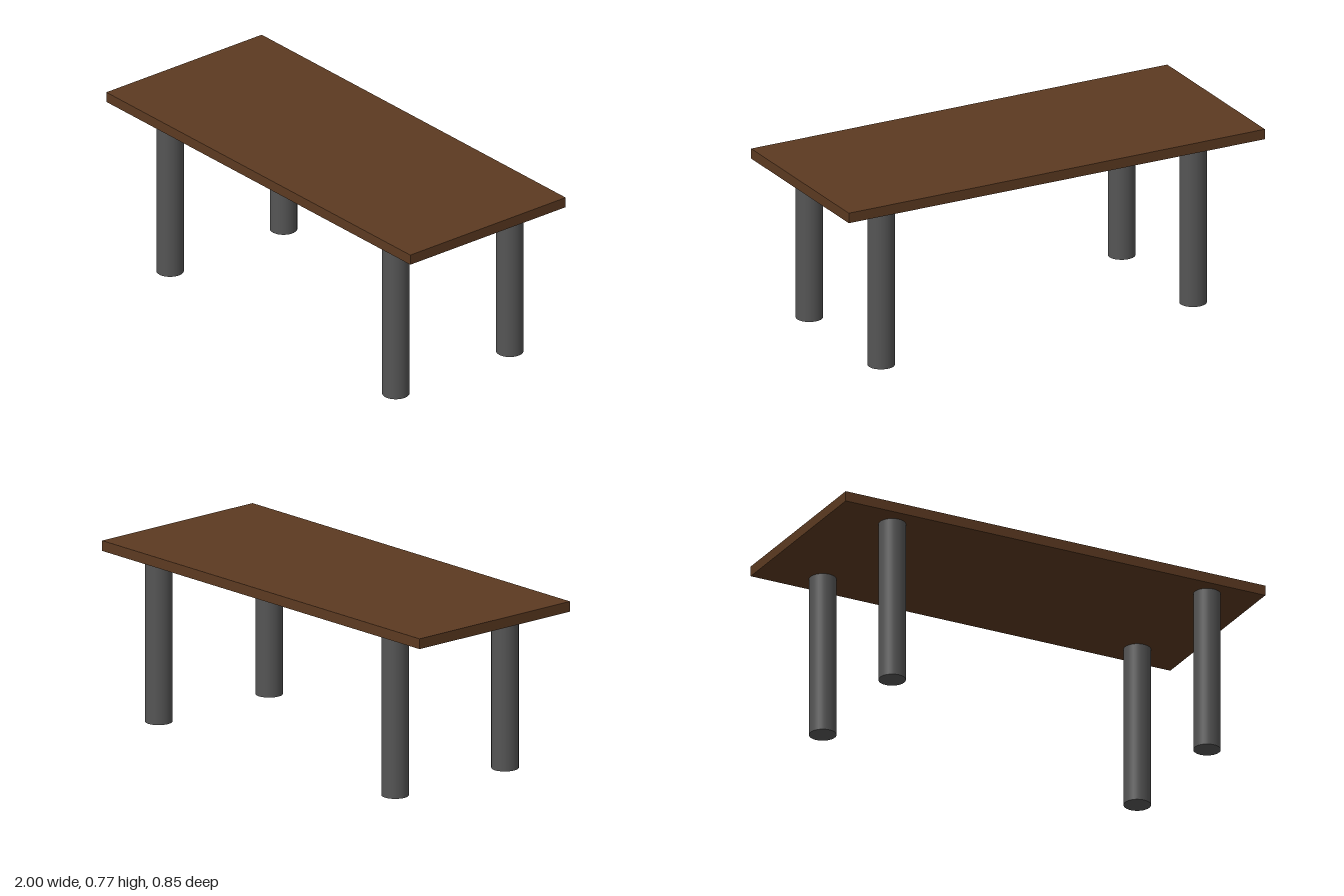
import * as THREE from 'three';

export function createModel() {
  const table = new THREE.Group();
  table.name = 'table';

  const wood = new THREE.MeshStandardMaterial({ name: 'dark wood', color: 0x5c3a21 });
  const metal = new THREE.MeshStandardMaterial({ name: 'grey metal', color: 0x555555 });

  const legHeight = 0.722;
  const topThickness = 0.045;

  // Flat rectangular slab
  const top = new THREE.Mesh(new THREE.BoxGeometry(2, topThickness, 0.85), wood);
  top.name = 'tableTop';
  top.position.y = legHeight + topThickness / 2;
  table.add(top);

  // Four round legs, each set slightly off the symmetric position
  const legGeometry = new THREE.CylinderGeometry(0.058, 0.058, legHeight, 32);
  const legs = [
    ['frontLeftLeg', 0.778, 0.32],
    ['backLeftLeg', 0.778, -0.304],
    ['frontRightLeg', -0.718, 0.311],
    ['backRightLeg', -0.718, -0.31],
  ];
  for (const [name, x, z] of legs) {
    const leg = new THREE.Mesh(legGeometry, metal);
    leg.name = name;
    leg.position.set(x, legHeight / 2, z);
    table.add(leg);
  }

  return table;
}
